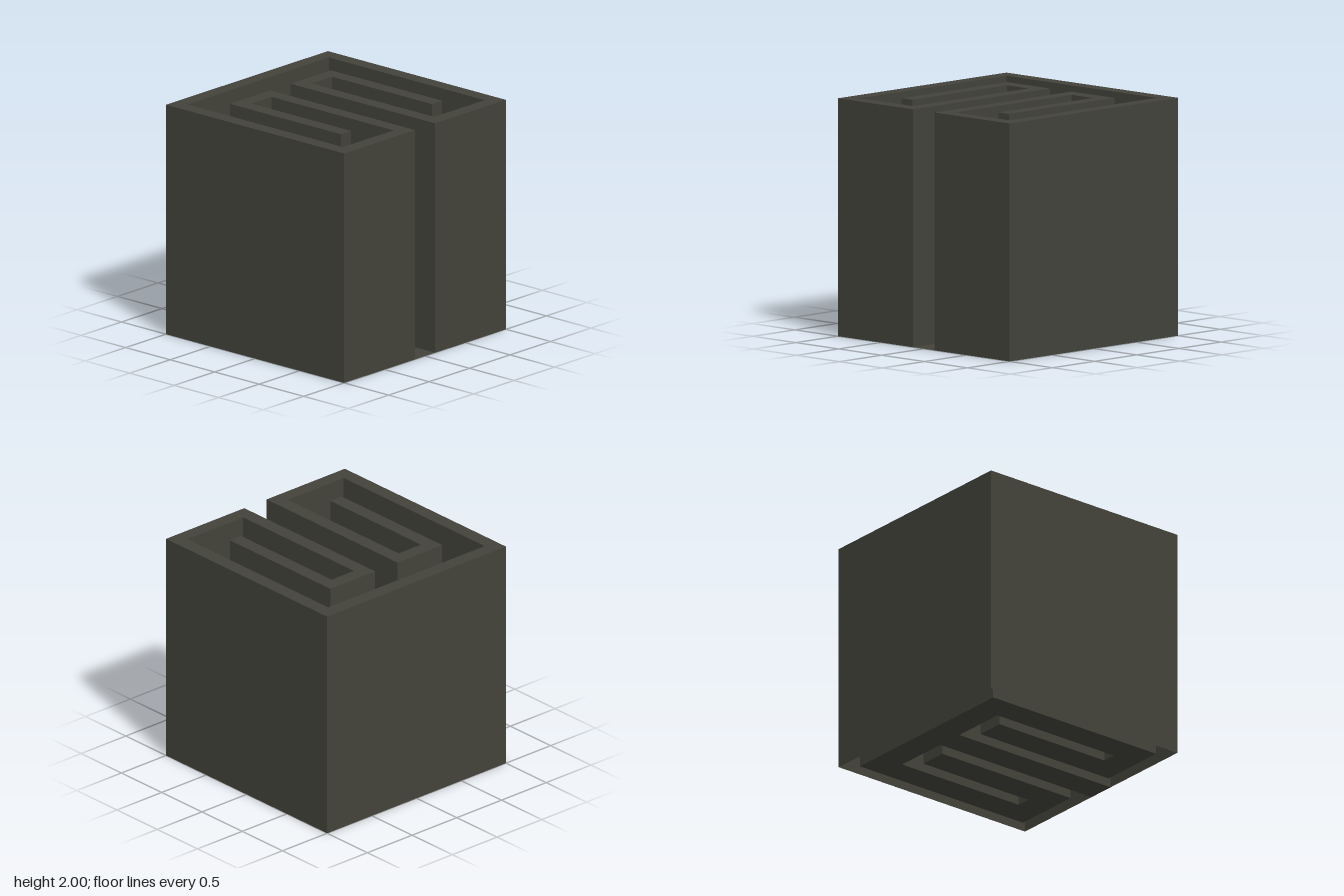
import * as THREE from 'three';

const HEIGHT = 2;

export function createModel() {
  const group = new THREE.Group();
  group.name = 'meanderBlock';
  const charcoal = new THREE.MeshStandardMaterial({ color: 0x43433b, side: THREE.DoubleSide });
  charcoal.name = 'charcoal';

  const add = (name, geometry) => {
    const mesh = new THREE.Mesh(geometry, charcoal);
    mesh.name = name;
    group.add(mesh);
  };

  // Channel outline as [x, z]: one half, mirrored across z = 0
  const half = [
    [1, 0.125], [-0.625, 0.125], [-0.625, 0.625], [0.625, 0.625], [0.625, 0.5],
    [-0.5, 0.5], [-0.5, 0.25], [0.875, 0.25], [0.875, 0.875], [-0.875, 0.875],
  ];
  const channel = [...half.map(([x, z]) => [x, -z]), ...[...half].reverse()];
  const outline = [[1, 1], [-1, 1], [-1, -1], [1, -1], ...channel];

  // Flat horizontal face filling an outline
  const flatFace = (points, y) => {
    const shape = new THREE.Shape(points.map(([x, z]) => new THREE.Vector2(x, -z)));
    return new THREE.ShapeGeometry(shape).rotateX(-Math.PI / 2).translate(0, y, 0);
  };

  // Upright faces along the closed outline, open underneath
  const positions = [];
  outline.forEach(([ax, az], i) => {
    const [bx, bz] = outline[(i + 1) % outline.length];
    positions.push(
      bx, 0, bz, ax, 0, az, ax, HEIGHT, az,
      bx, 0, bz, ax, HEIGHT, az, bx, HEIGHT, bz,
    );
  });
  const walls = new THREE.BufferGeometry();
  walls.setAttribute('position', new THREE.Float32BufferAttribute(positions, 3));
  walls.computeVertexNormals();

  add('walls', walls);
  add('wallTop', flatFace(outline, HEIGHT));
  add('channelFloor', flatFace(channel, 0));
  return group;
}
